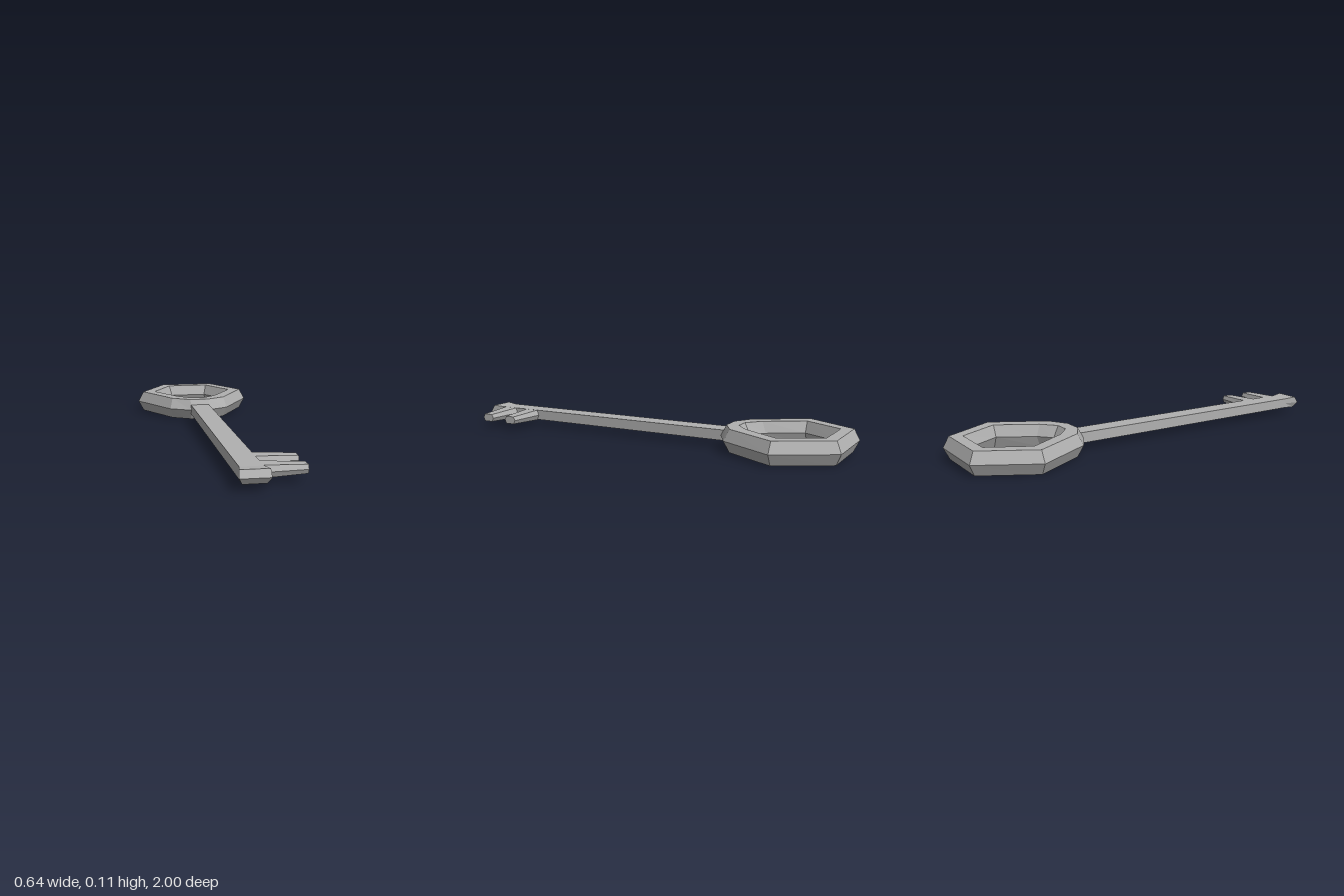
import * as THREE from 'three';

// Skin a run of cross-sections (each counter-clockwise about the run direction)
function loft(sections, closed = false) {
  const n = sections[0].length, pos = [];
  const tri = (a, b, c) => pos.push(...a, ...b, ...c);
  const spans = closed ? sections.length : sections.length - 1;
  for (let i = 0; i < spans; i++) {
    const A = sections[i], B = sections[(i + 1) % sections.length];
    for (let j = 0; j < n; j++) {
      const k = (j + 1) % n;
      tri(A[j], A[k], B[k]);
      tri(A[j], B[k], B[j]);
    }
  }
  if (!closed) {
    const S = sections[0], E = sections[sections.length - 1];
    for (let j = 1; j < n - 1; j++) {
      tri(S[0], S[j + 1], S[j]);
      tri(E[0], E[j], E[j + 1]);
    }
  }
  const g = new THREE.BufferGeometry();
  g.setAttribute('position', new THREE.Float32BufferAttribute(pos, 3));
  g.computeVertexNormals();
  return g;
}

export function createModel() {
  const group = new THREE.Group();
  const metal = new THREE.MeshStandardMaterial({ color: 0xb0b0b0, flatShading: true });
  metal.name = 'grey metal';
  const add = (name, geometry) => {
    const mesh = new THREE.Mesh(geometry, metal);
    mesh.name = name;
    group.add(mesh);
  };
  const MID = 0.055, TOP = 0.11;

  // Bow: each station gives [x, z] of outer ridge, outer rim, inner rim, inner ridge
  const half = [
    [[0.16, -1.0], [0.145, -0.975], [0.113, -0.92], [0.1, -0.897]],
    [[0.318, -0.728], [0.288, -0.728], [0.22, -0.728], [0.195, -0.728]],
    [[0.16, -0.452], [0.145, -0.477], [0.108, -0.541], [0.098, -0.562]],
    [[0.052, -0.392], [0.05, -0.421], [0.037, -0.479], [0.033, -0.506]],
  ];
  const mirrored = half.map(s => s.map(([x, z]) => [-x, z])).reverse();
  const bow = [...half, ...mirrored].map(([o, a, b, i]) => [
    [o[0], MID, o[1]], [a[0], TOP, a[1]], [b[0], TOP, b[1]],
    [i[0], MID, i[1]], [b[0], 0, b[1]], [a[0], 0, a[1]],
  ]);
  add('bow', loft(bow, true));

  // Shaft with a flared, bevelled end
  const shaftSection = (xMid, xTop, xBot, yTop, yBot, zMid, zEdge) => [
    [xMid, MID, zMid], [xTop, yTop, zEdge], [-xTop, yTop, zEdge],
    [-xMid, MID, zMid], [-xBot, yBot, zEdge], [xBot, yBot, zEdge],
  ];
  add('shaft', loft([
    shaftSection(0.05, 0.05, 0.05, 0.082, 0.031, -0.44, -0.44),
    shaftSection(0.05, 0.05, 0.05, 0.082, 0.031, 0.92, 0.92),
    shaftSection(0.065, 0.062, 0.05, 0.087, 0.028, 1.0, 0.982),
  ]));

  // Tapered six-sided teeth on the left side
  const toothSection = (x, z, h, wide, flat) => [
    [x, MID + h, z + flat], [x, MID, z + wide], [x, MID - h, z + flat],
    [x, MID - h, z - flat], [x, MID, z - wide], [x, MID + h, z - flat],
  ];
  [0.732, 0.877].forEach((z, i) => add('tooth' + (i + 1), loft([
    toothSection(0.04, z, 0.027, 0.048, 0.036),
    toothSection(0.236, z, 0.019, 0.033, 0.024),
  ])));

  return group;
}
